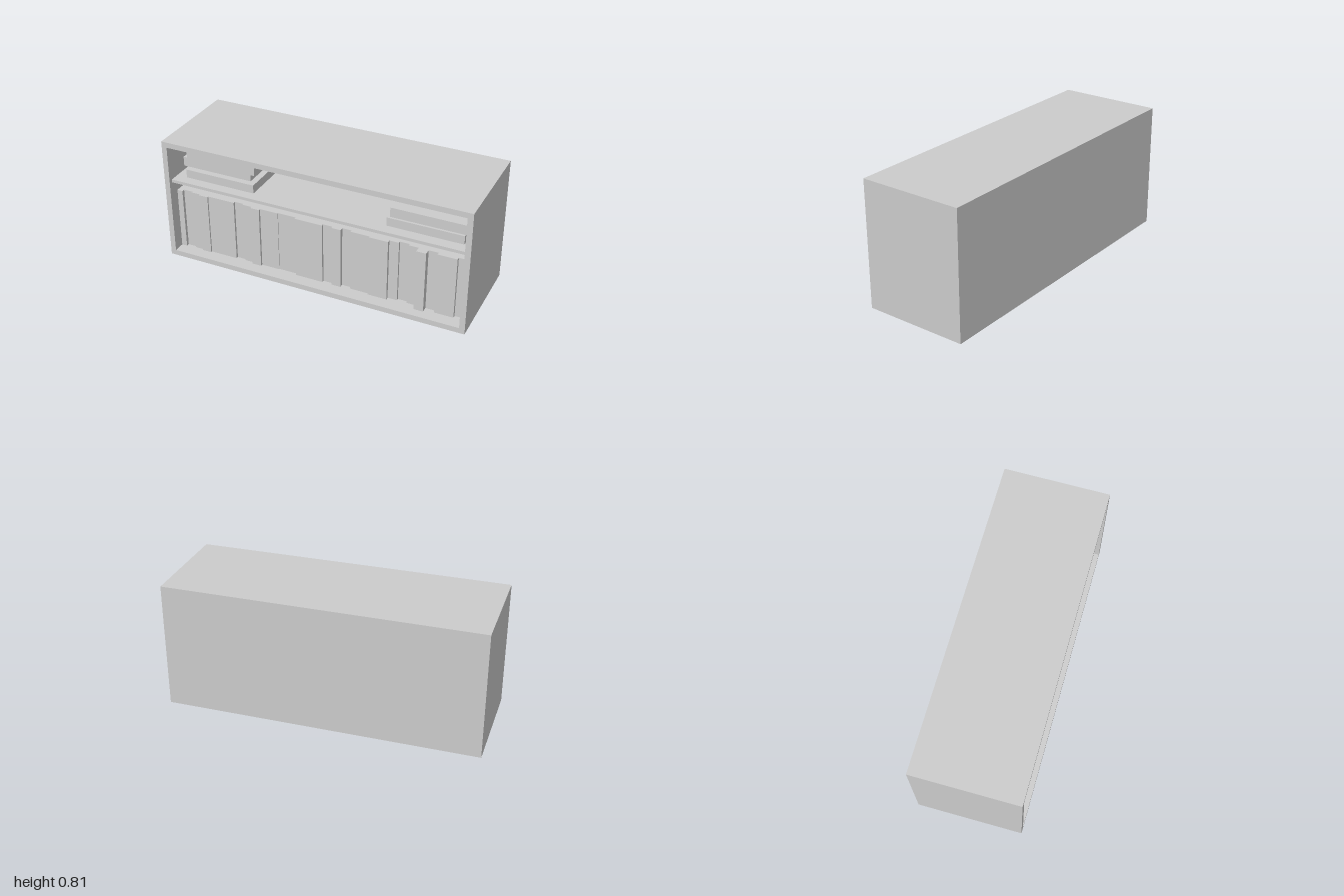
import * as THREE from 'three';

const W = 2, H = 0.815, D = 0.67, T = 0.035;
const FRONT = D / 2;

export function createModel() {
  const root = new THREE.Group();
  root.name = 'bookcase';
  const material = new THREE.MeshStandardMaterial({ color: 0xcccccc, flatShading: true });

  // Box given by its minimum and maximum on each axis
  function box(name, x0, x1, y0, y1, z0, z1, parent) {
    const mesh = new THREE.Mesh(new THREE.BoxGeometry(x1 - x0, y1 - y0, z1 - z0), material);
    mesh.position.set((x0 + x1) / 2, (y0 + y1) / 2, (z0 + z1) / 2);
    mesh.name = name;
    parent.add(mesh);
  }

  // Case: a rectangular frame extruded over the full depth, closed by a back panel
  const outline = new THREE.Shape([
    new THREE.Vector2(-W / 2, 0), new THREE.Vector2(W / 2, 0),
    new THREE.Vector2(W / 2, H), new THREE.Vector2(-W / 2, H),
  ]);
  const ix = W / 2 - T;
  outline.holes.push(new THREE.Path([
    new THREE.Vector2(-ix, T), new THREE.Vector2(-ix, H - T),
    new THREE.Vector2(ix, H - T), new THREE.Vector2(ix, T),
  ]));
  const frame = new THREE.Mesh(
    new THREE.ExtrudeGeometry(outline, { depth: D, bevelEnabled: false }), material);
  frame.position.z = -FRONT;
  frame.name = 'caseFrame';
  root.add(frame);
  box('backPanel', -ix, ix, T, H - T, -FRONT, -FRONT + T, root);

  // Shelf, slightly set back from the front edge
  box('shelf', -ix, ix, 0.525, 0.545, -FRONT + T, FRONT - 0.025, root);

  // Standing books: one entry per book, the set-back of its spine
  const setBack = [
    0.075, 0.095, 0.085, 0.075, 0.085, 0.085, 0.085, 0.1, 0.09, 0.075, 0.09,
    0.09, 0.095, 0.095, 0.08, 0.08, 0.08, 0.095, 0.08, 0.105, 0.09, 0.09,
    0.08, 0.08, 0.1, 0.115, 0.1, 0.06, 0.1, 0.08, 0.08, 0.1,
  ];
  const row = new THREE.Group();
  row.name = 'standingBooks';
  root.add(row);
  const pitch = 0.061, start = -0.989;
  setBack.forEach((d, i) => {
    const x = start + i * pitch;
    const z = FRONT - d;
    box('standingBook', Math.max(x, -ix), x + pitch, T, 0.445, z - 0.48, z, row);
  });

  // Lying books in two stacks: left edge, bottom, top, set-back
  const stacks = {
    rightBookStack: [[-0.895, 0.545, 0.6, 0.09], [-0.935, 0.6, 0.662, 0.13], [-0.89, 0.662, 0.722, 0.1]],
    leftBookStack: [[0.455, 0.545, 0.6, 0.095], [0.47, 0.6, 0.662, 0.11]],
  };
  for (const [name, books] of Object.entries(stacks)) {
    const stack = new THREE.Group();
    stack.name = name;
    root.add(stack);
    for (const [x, y0, y1, d] of books) {
      box('lyingBook', x, x + 0.475, y0, y1, FRONT - d - 0.4, FRONT - d, stack);
    }
  }
  return root;
}
